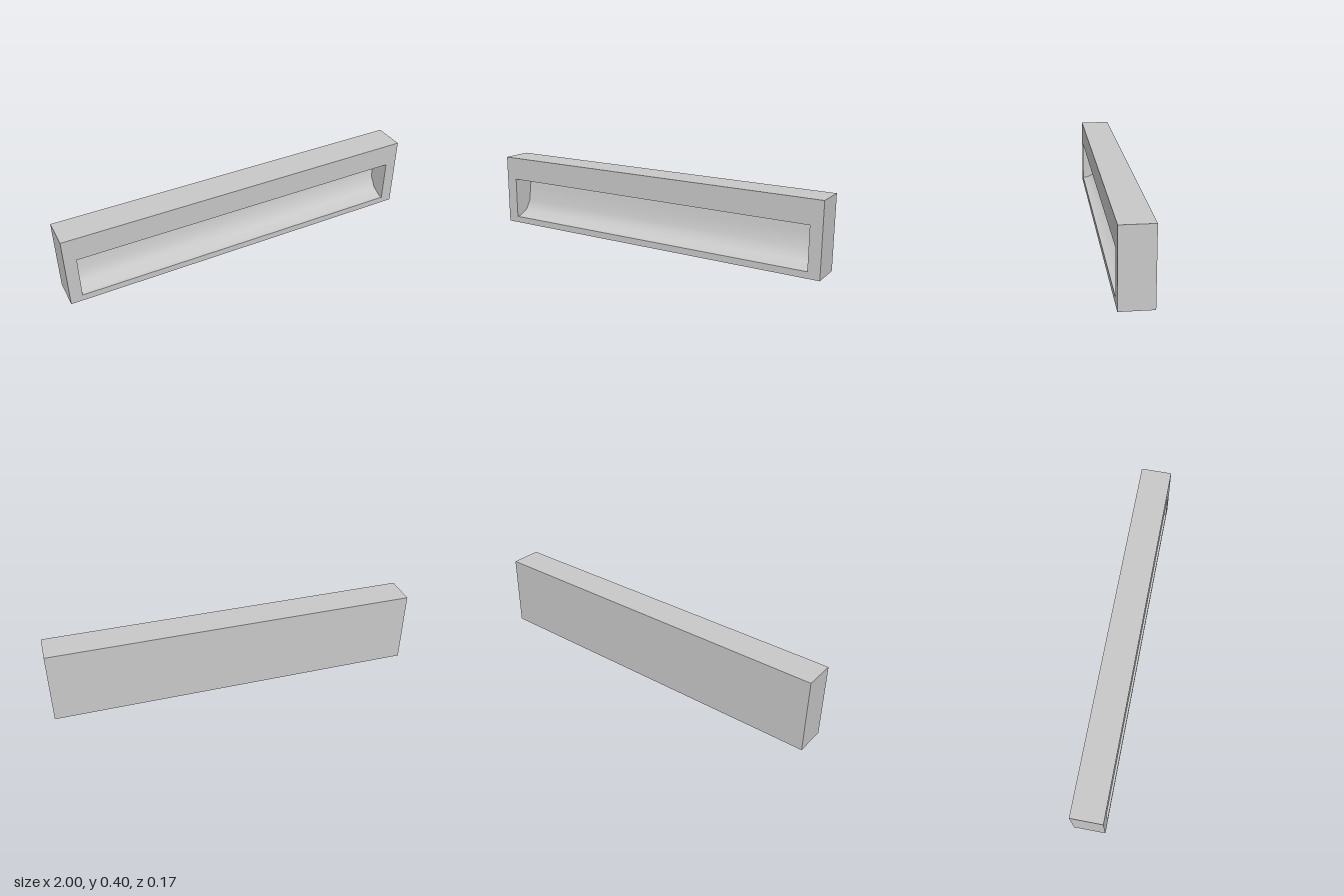
import * as THREE from 'three';

const HALF_DEPTH = 0.085, HEIGHT = 0.4;
const HALF_W = 0.935; // half width of the recess

// Recess cross-section, ceiling to front lip: [depth behind the front, y]
const PROFILE = [
  [0.137, 0.27], [0.126, 0.2], [0.114, 0.115], [0.08, 0.063], [0.025, 0.037], [0, 0.036],
];
const TOP = PROFILE[0][1], BOTTOM = PROFILE[PROFILE.length - 1][1];

function rectPoints(x, y0, y1) {
  return [[-x, y0], [x, y0], [x, y1], [-x, y1]].map(p => new THREE.Vector2(...p));
}

export function createModel() {
  const group = new THREE.Group();
  const grey = new THREE.MeshStandardMaterial({ color: 0xc8c8c8 });
  grey.name = 'plain grey';

  const add = (name, geometry) => {
    const mesh = new THREE.Mesh(geometry, grey);
    mesh.name = name;
    group.add(mesh);
    return mesh;
  };

  // Outer casing: a box with its front face (+z) left open
  const casing = new THREE.BoxGeometry(2, HEIGHT, 2 * HALF_DEPTH);
  casing.setIndex([...casing.index.array].filter((_, i) => i < 24 || i >= 30));
  casing.clearGroups();
  add('casing', casing).position.y = HEIGHT / 2;

  // Front face with the rectangular opening
  const front = new THREE.Shape(rectPoints(1, 0, HEIGHT));
  front.holes.push(new THREE.Path(rectPoints(HALF_W, BOTTOM, TOP)));
  add('frontFrame', new THREE.ShapeGeometry(front)).position.z = HALF_DEPTH;

  // Curved back and floor of the recess: a plane bent along the profile
  const back = new THREE.PlaneGeometry(2 * HALF_W, 1, 1, PROFILE.length - 1);
  const pos = back.attributes.position;
  for (let i = 0; i < pos.count; i++) {
    const [depth, y] = PROFILE[Math.floor(i / 2)];
    pos.setY(i, y);
    pos.setZ(i, HALF_DEPTH - depth);
  }
  back.computeVertexNormals();
  add('recessBack', back);

  // Flat ceiling of the recess, facing down
  const depth = PROFILE[0][0];
  const ceiling = new THREE.PlaneGeometry(2 * HALF_W, depth).rotateX(Math.PI / 2);
  add('recessCeiling', ceiling).position.set(0, TOP, HALF_DEPTH - depth / 2);

  // End walls of the recess, facing inwards
  for (const side of [-1, 1]) {
    const outline = [[0, TOP], ...PROFILE].map(([d, y]) => new THREE.Vector2(side * (HALF_DEPTH - d), y));
    const wall = new THREE.ShapeGeometry(new THREE.Shape(outline)).rotateY(-side * Math.PI / 2);
    add(side > 0 ? 'leftEndWall' : 'rightEndWall', wall).position.x = side * HALF_W;
  }
  return group;
}
